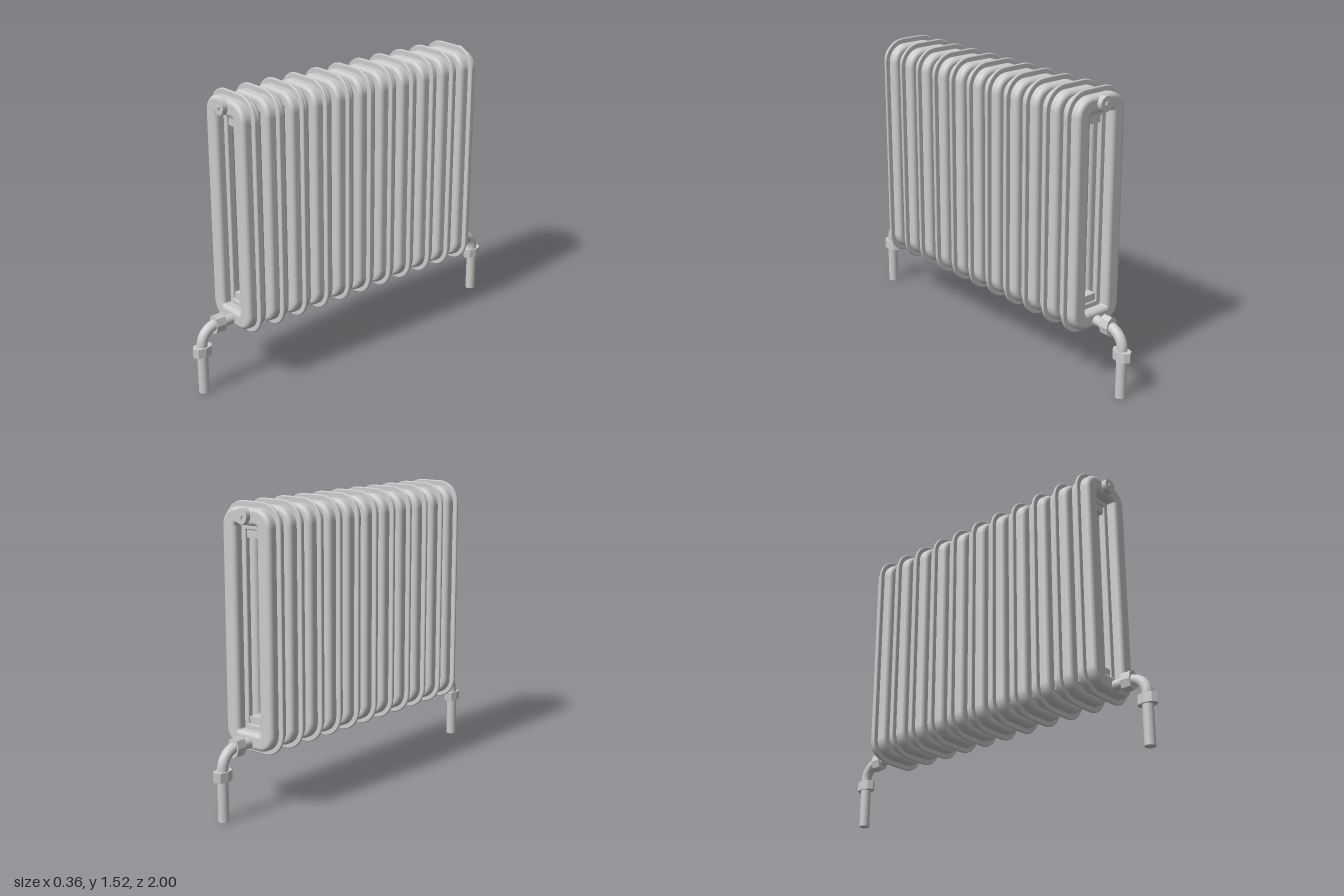
import * as THREE from 'three';

const SECTIONS = 11, PITCH = 0.1417;
const MID_Y = 0.905, HALF_W = 0.1125, HALF_H = 0.5475, CORNER = 0.05;
const material = new THREE.MeshStandardMaterial({ color: 0xcccccc });

// Rounded rectangle outline, grown by d from the loop's centre line
function loopPoints(d, steps = 8) {
  const w = HALF_W + d, h = HALF_H + d, r = Math.max(0.006, CORNER + d);
  const pts = [];
  [[1, 1], [-1, 1], [-1, -1], [1, -1]].forEach(([sx, sy], q) => {
    for (let i = 0; i <= steps; i++) {
      const a = (q + i / steps) * Math.PI / 2;
      pts.push([sx * (w - r) + r * Math.cos(a), MID_Y + sy * (h - r) + r * Math.sin(a)]);
    }
  });
  return pts;
}

// Closed ring with a rounded-rectangle section: halfD across, halfZ deep
function ringGeometry(halfD, halfZ, radius, steps) {
  const profile = [];
  [[1, 1], [-1, 1], [-1, -1], [1, -1]].forEach(([sd, sz], q) => {
    for (let i = 0; i <= steps; i++) {
      const a = (q + i / steps) * Math.PI / 2;
      profile.push([sd * (halfD - radius) + radius * Math.cos(a),
        sz * (halfZ - radius) + radius * Math.sin(a), Math.cos(a), Math.sin(a)]);
    }
  });
  const loops = profile.map(([d]) => loopPoints(d));
  const n = loops[0].length, m = profile.length;
  const pos = [], nor = [], idx = [];
  profile.forEach(([, z, nd, nz], j) => {
    loops[j].forEach(([x, y], i) => {
      const a = (Math.floor(i / 9) + (i % 9) / 8) * Math.PI / 2;
      pos.push(x, y, z);
      nor.push(Math.cos(a) * nd, Math.sin(a) * nd, nz);
    });
  });
  for (let j = 0; j < m; j++) {
    for (let i = 0; i < n; i++) {
      const i2 = (i + 1) % n, j2 = (j + 1) % m;
      const a = j * n + i, b = j * n + i2, c = j2 * n + i2, d = j2 * n + i;
      idx.push(a, b, c, a, c, d);
    }
  }
  const g = new THREE.BufferGeometry();
  g.setAttribute('position', new THREE.Float32BufferAttribute(pos, 3));
  g.setAttribute('normal', new THREE.Float32BufferAttribute(nor, 3));
  g.setIndex(idx);
  return g;
}

// Cylinder along z, optionally faceted
const rod = (r, length, sides = 24) =>
  new THREE.CylinderGeometry(r, r, length, sides).rotateX(Math.PI / 2);

function add(parent, name, geometry, x = 0, y = 0, z = 0, mat = material) {
  const mesh = new THREE.Mesh(geometry, mat);
  mesh.name = name;
  mesh.position.set(x, y, z);
  parent.add(mesh);
  return mesh;
}

export function createModel() {
  const model = new THREE.Group();
  model.name = 'radiator';
  const faceted = material.clone();
  faceted.flatShading = true;

  // Hollow column loops, each with a thin seam rib around its middle
  const columnGeo = ringGeometry(0.0425, 0.057, 0.022, 4);
  const ribGeo = ringGeometry(0.069, 0.008, 0.006, 2);
  // Flattened octagonal hubs joining neighbouring sections
  const hubGeo = rod(1, PITCH * (SECTIONS - 1), 8).rotateZ(Math.PI / 8)
    .scale(0.108, 0.065, 1);
  for (let i = 0; i < SECTIONS; i++) {
    const section = new THREE.Group();
    section.name = 'section' + (i + 1);
    section.position.z = (i - (SECTIONS - 1) / 2) * PITCH;
    add(section, 'columnLoop', columnGeo);
    add(section, 'seamRib', ribGeo);
    model.add(section);
  }
  add(model, 'upperHub', hubGeo, 0, 1.405, 0, faceted);
  add(model, 'lowerHub', hubGeo, 0, 0.405, 0, faceted);

  // Elbow path: out of the end section, then down to the floor
  const path = new THREE.CurvePath();
  const v = (y, z) => new THREE.Vector3(0, y, z);
  path.add(new THREE.LineCurve3(v(0.35, 0.74), v(0.35, 0.855)));
  path.add(new THREE.CubicBezierCurve3(v(0.35, 0.855), v(0.35, 0.905), v(0.31, 0.945), v(0.26, 0.945)));
  path.add(new THREE.LineCurve3(v(0.26, 0.945), v(0, 0.945)));
  const pipeGeo = new THREE.TubeGeometry(path, 64, 0.027, 20);
  const capGeo = new THREE.CircleGeometry(0.027, 20).rotateX(Math.PI / 2);
  const nutGeo = new THREE.CylinderGeometry(1, 1, 0.05, 8).scale(0.036, 1, 0.055);
  const collarGeo = rod(1, 0.054, 8).scale(0.036, 0.053, 1);

  // Same fittings at both ends
  for (const [name, turn] of [['front', 0], ['back', Math.PI]]) {
    const end = new THREE.Group();
    end.name = name + 'Fittings';
    end.rotation.y = turn;
    add(end, 'supplyPipe', pipeGeo);
    add(end, 'pipeEnd', capGeo, 0, 0, 0.945);
    add(end, 'pipeNut', nutGeo, 0, 0.23, 0.945, faceted);
    add(end, 'pipeCollar', collarGeo, 0, 0.35, 0.845, faceted);
    add(end, 'airPlug', rod(0.038, 0.04), 0, 1.457, 0.772);
    add(end, 'plugPin', rod(0.012, 0.02), 0, 1.457, 0.79);
    model.add(end);
  }
  return model;
}
